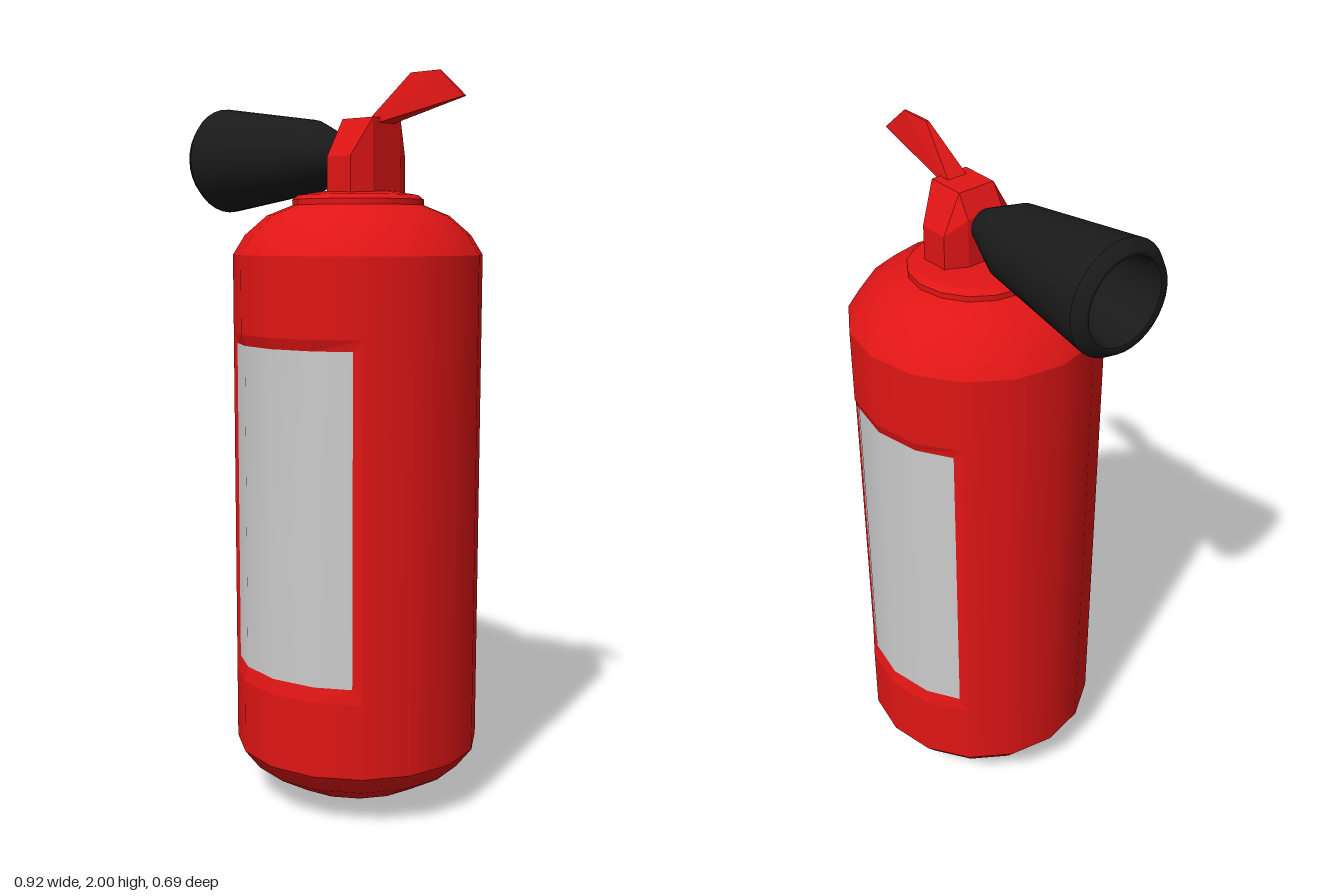
import * as THREE from 'three';
import { ConvexGeometry } from 'three/addons/geometries/ConvexGeometry.js';

const red = new THREE.MeshStandardMaterial({ color: 0xe01515 });
const black = new THREE.MeshStandardMaterial({ color: 0x1a1a1a });
const grey = new THREE.MeshStandardMaterial({ color: 0xcccccc });

const R = 0.343;              // cylinder radius
const SIDES = 16;
const deg = THREE.MathUtils.degToRad;

function addMesh(parent, name, geometry, material) {
  const mesh = new THREE.Mesh(geometry, material);
  mesh.name = name;
  parent.add(mesh);
  return mesh;
}

// Turned part from [radius, height] points, listed upwards
function turned(points, segments = SIDES, start = 0, sweep = 360) {
  const profile = points.map(([r, y]) => new THREE.Vector2(r, y));
  return new THREE.LatheGeometry(profile, segments, deg(start), deg(sweep));
}

// Surface between two rows of points of equal length
function strip(rowA, rowB) {
  const n = rowA.length, index = [];
  for (let i = 0; i < n - 1; i++) {
    index.push(i, i + 1, n + i + 1, i, n + i + 1, n + i);
  }
  const geometry = new THREE.BufferGeometry().setFromPoints([...rowA, ...rowB]);
  geometry.setIndex(index);
  geometry.computeVertexNormals();
  return geometry;
}

// Row of points around the tank, facing +z, out to +-edge degrees
function arc(radius, y, edge) {
  return [-edge, -22.5, 0, 22.5, edge].map((a) =>
    new THREE.Vector3(radius * Math.sin(deg(a)), y, radius * Math.cos(deg(a))));
}

// Recessed label with its bevelled border
function labelPanel(name) {
  const panel = new THREE.Group();
  panel.name = name;
  const loop = (r, y0, y1, edge) => {
    const low = arc(r, y0, edge);
    return [...low, ...arc(r, y1, edge).reverse(), low[0]];
  };
  const border = strip(loop(R, 0.36, 1.32, 45), loop(0.333, 0.4, 1.29, 40.5)).toNonIndexed();
  border.computeVertexNormals();
  addMesh(panel, 'labelBorder', border, red);
  addMesh(panel, 'label', strip(arc(0.333, 0.4, 40.5), arc(0.333, 1.29, 40.5)), grey);
  return panel;
}

function createTank() {
  const tank = new THREE.Group();
  tank.name = 'tank';
  addMesh(tank, 'tankBottom', turned([[0, 0], [0.1, 0.012], [0.2, 0.042], [0.3, 0.1], [R, 0.155]]), red);
  addMesh(tank, 'lowerWall', turned([[R, 0.155], [R, 0.36]]), red);
  addMesh(tank, 'upperWall', turned([[R, 1.32], [R, 1.53]]), red);
  addMesh(tank, 'shoulder', turned([[R, 1.53], [0.31, 1.583], [0.25, 1.635], [0.175, 1.665]]), red);

  // Plain walls left and right, labels front and back
  for (const start of [45, 225]) {
    addMesh(tank, 'sideWall', turned([[R, 0.36], [R, 1.32]], 4, start, 90), red);
  }
  const back = labelPanel('backLabelPanel');
  back.rotation.y = Math.PI;
  tank.add(labelPanel('frontLabelPanel'), back);

  // Stepped collar under the valve
  addMesh(tank, 'collarRim', turned([[0.18, 1.655], [0.18, 1.678]]), red);
  addMesh(tank, 'collarBevel', turned([[0.18, 1.678], [0.165, 1.69]]), red);
  addMesh(tank, 'collarTop', turned([[0.165, 1.69], [0.1, 1.7], [0, 1.7]]), red);
  tank.position.x = 0.092;
  return tank;
}

// Flat-faced solid mirrored across z = 0 from [x, y, half width] points
function mirroredHull(points) {
  return new ConvexGeometry(points.flatMap(([x, y, z]) =>
    [new THREE.Vector3(x, y, z), new THREE.Vector3(x, y, -z)]));
}

function createHorn() {
  const horn = new THREE.Group();
  horn.name = 'horn';
  addMesh(horn, 'hornShell', turned([[0.045, 0], [0.1, 0.12], [0.15, 0.48]], 32), black);
  addMesh(horn, 'hornLip', turned([[0.15, 0.48], [0.13, 0.51], [0.115, 0.505]], 32), black);
  addMesh(horn, 'hornInside', turned([[0.115, 0.505], [0.075, 0.2], [0, 0.2]], 32), black);
  addMesh(horn, 'hornBase', turned([[0, 0], [0.045, 0]], 32), black);
  horn.rotation.z = Math.PI / 2;
  horn.position.set(0.05, 1.8, 0);
  return horn;
}

export function createModel() {
  const model = new THREE.Group();
  model.name = 'fireExtinguisher';
  model.add(createTank(), createHorn());

  // Valve block with sloping flanks
  addMesh(model, 'valve', mirroredHull([
    [0.05, 1.69, 0.055], [0.195, 1.69, 0.055], [0.08, 1.69, 0.11], [0.165, 1.69, 0.11],
    [0.08, 1.79, 0.11], [0.165, 1.79, 0.11],
    [0.05, 1.83, 0.055], [0.085, 1.89, 0.055], [0.195, 1.89, 0.055],
  ]), red);

  // Lever: wide underside, narrow ridge, pointed end
  addMesh(model, 'lever', mirroredHull([
    [0.135, 1.865, 0.035], [0.28, 2, 0.004], [0.375, 2, 0.003], [0.457, 1.93, 0.005],
  ]), red);
  return model;
}
